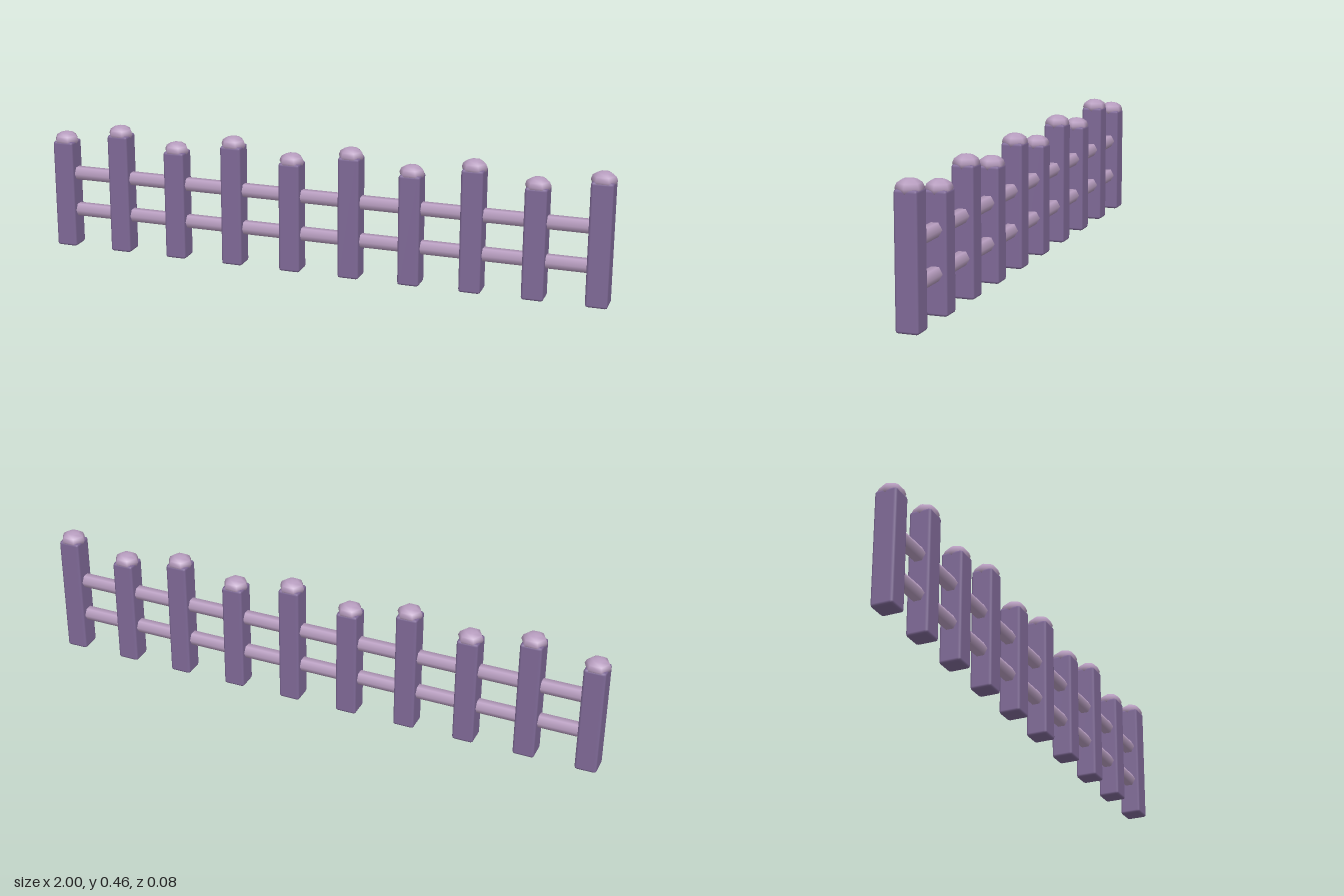
import * as THREE from 'three';
import { RoundedBoxGeometry } from 'three/addons/geometries/RoundedBoxGeometry.js';

export function createModel() {
  const fence = new THREE.Group();
  fence.name = 'fence';

  const postPaint = new THREE.MeshStandardMaterial({ color: 0x806a98 });
  postPaint.name = 'dark purple';
  const trimPaint = new THREE.MeshStandardMaterial({ color: 0xb79dbf });
  trimPaint.name = 'pale lilac';

  const add = (parent, name, geometry, material, x, y) => {
    const mesh = new THREE.Mesh(geometry, material);
    mesh.name = name;
    mesh.position.set(x, y, 0);
    parent.add(mesh);
    return mesh;
  };

  // Six-sided squashed cap, with corners towards +x and -x
  const capGeometry = new THREE.SphereGeometry(0.044, 6, 6).scale(1, 0.66, 1);

  // Ten bevelled posts, alternating short and tall
  const count = 10, spacing = 0.2124;
  const postGeometries = [0.386, 0.426].map((h) => new RoundedBoxGeometry(0.075, h, 0.075, 1, 0.009));
  for (let i = 0; i < count; i++) {
    const height = i % 2 ? 0.426 : 0.386;
    const picket = new THREE.Group();
    picket.name = `picket${i + 1}`;
    picket.position.x = (i - (count - 1) / 2) * spacing;
    add(picket, 'post', postGeometries[i % 2], postPaint, 0, height / 2);
    add(picket, 'postCap', capGeometry, trimPaint, 0, height + 0.002);
    fence.add(picket);
  }

  // Two six-sided rails running through the posts
  const railGeometry = new THREE.CylinderGeometry(0.025, 0.025, 1.912, 6).rotateZ(Math.PI / 2);
  add(fence, 'lowerRail', railGeometry, trimPaint, 0, 0.133);
  add(fence, 'upperRail', railGeometry, trimPaint, 0, 0.268);

  return fence;
}
